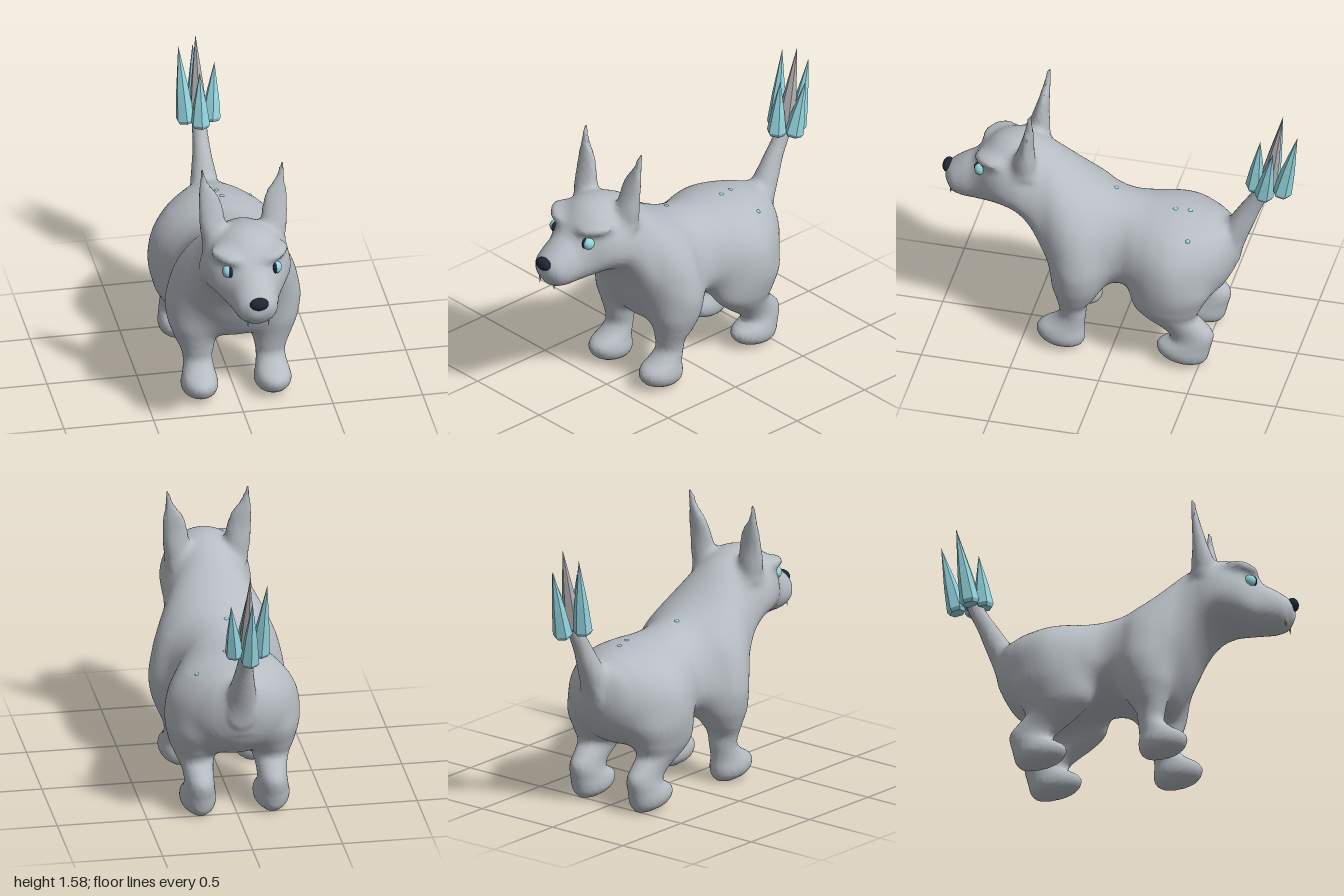
import * as THREE from 'three';

const mat = (name, color) => Object.assign(new THREE.MeshStandardMaterial({ color }), { name });

// Smooth lookup of section rows by their first value
function sections(rows) {
  const size = rows[0].length - 1;
  const curve = new THREE.CubicInterpolant(rows.map(r => r[0]), rows.flatMap(r => r.slice(1)), size, new Array(size));
  const first = rows[0][0], last = rows[rows.length - 1][0];
  return { at: t => curve.evaluate(t), beyond: t => Math.max(first - t, t - last) };
}

// Torso, neck, head and muzzle: [z, bottom, top, half width, height of widest point]
const BODY = sections([
  [-0.665, 0.60, 0.72, 0.06, 0.66], [-0.63, 0.50, 0.81, 0.15, 0.64],
  [-0.55, 0.40, 0.86, 0.255, 0.61], [-0.45, 0.35, 0.885, 0.33, 0.60],
  [-0.35, 0.34, 0.90, 0.368, 0.59], [-0.25, 0.36, 0.905, 0.353, 0.59],
  [-0.15, 0.385, 0.905, 0.31, 0.60], [-0.05, 0.395, 0.92, 0.272, 0.60],
  [0.05, 0.39, 0.945, 0.297, 0.59], [0.14, 0.375, 0.985, 0.358, 0.57],
  [0.22, 0.37, 1.035, 0.362, 0.58], [0.30, 0.38, 1.10, 0.32, 0.65],
  [0.38, 0.50, 1.165, 0.265, 0.76], [0.46, 0.66, 1.205, 0.245, 0.89],
  [0.53, 0.76, 1.225, 0.25, 0.95], [0.62, 0.805, 1.225, 0.24, 0.97],
  [0.70, 0.80, 1.195, 0.205, 0.97], [0.76, 0.795, 1.14, 0.165, 0.93],
  [0.81, 0.79, 1.08, 0.14, 0.91], [0.88, 0.79, 1.035, 0.122, 0.90],
  [0.94, 0.815, 0.99, 0.098, 0.90], [0.975, 0.87, 0.96, 0.05, 0.915],
]);

// Upright limbs: [y, centre x, centre z, radius x, radius z]
const FRONT_LEG = sections([
  [0.003, 0.2, 0.245, 0.035, 0.055], [0.03, 0.202, 0.265, 0.078, 0.105],
  [0.08, 0.204, 0.282, 0.102, 0.133], [0.13, 0.204, 0.28, 0.095, 0.127],
  [0.17, 0.203, 0.245, 0.085, 0.095], [0.22, 0.203, 0.218, 0.081, 0.074],
  [0.28, 0.205, 0.216, 0.092, 0.078], [0.35, 0.213, 0.2, 0.115, 0.108],
  [0.45, 0.228, 0.19, 0.13, 0.138], [0.6, 0.22, 0.18, 0.108, 0.125],
  [0.75, 0.18, 0.18, 0.06, 0.07],
]);
const HIND_LEG = sections([
  [0.003, 0.2, -0.455, 0.035, 0.055], [0.03, 0.202, -0.425, 0.078, 0.11],
  [0.08, 0.204, -0.406, 0.1, 0.145], [0.12, 0.204, -0.413, 0.095, 0.147],
  [0.165, 0.203, -0.452, 0.085, 0.12], [0.21, 0.203, -0.44, 0.081, 0.132],
  [0.26, 0.205, -0.388, 0.088, 0.142], [0.31, 0.21, -0.335, 0.105, 0.15],
  [0.38, 0.217, -0.315, 0.128, 0.19], [0.5, 0.223, -0.335, 0.132, 0.2],
  [0.62, 0.2, -0.34, 0.1, 0.14], [0.75, 0.15, -0.35, 0.06, 0.08],
]);
const EAR = sections([
  [1.08, 0.165, 0.5, 0.06, 0.06], [1.18, 0.17, 0.498, 0.07, 0.06],
  [1.28, 0.177, 0.486, 0.068, 0.04], [1.37, 0.19, 0.472, 0.055, 0.027],
  [1.45, 0.212, 0.462, 0.024, 0.017], [1.535, 0.225, 0.453, 0.01, 0.01],
]);
const TAIL = sections([
  [0.55, 0, -0.6, 0.06, 0.045], [0.65, 0, -0.6, 0.09, 0.08],
  [0.75, 0, -0.627, 0.085, 0.09], [0.86, 0, -0.685, 0.066, 0.073],
  [0.96, 0, -0.735, 0.05, 0.06], [1.06, 0, -0.79, 0.042, 0.05],
  [1.13, 0, -0.82, 0.038, 0.045],
]);

// Approximate signed distance to an ellipse or ellipsoid
function oval(a, ra, b, rb, c = 0, rc = 1) {
  const rho = Math.hypot(a / ra, b / rb, c / rc) + 1e-5;
  return rho * (rho - 1) / (Math.hypot(a / ra ** 2, b / rb ** 2, c / rc ** 2) + 1e-4);
}
function limb(part, x, y, z) {
  const [cx, cz, rx, rz] = part.at(y);
  return Math.max(oval(x - cx, rx, z - cz, rz), part.beyond(y));
}
// Smooth union with blend width k
function blend(a, b, k) {
  const h = Math.max(k - Math.abs(a - b), 0) / k;
  return Math.min(a, b) - h * h * k / 4;
}

// Distance field of the whole animal, mirrored in x
function hound(px, y, z) {
  const x = Math.abs(px);
  const [lo, hi, w, mid] = BODY.at(z);
  let d = Math.max(oval(x, w, y - mid, y > mid ? hi - mid : mid - lo), BODY.beyond(z));
  // Brow ridge over the eye, sloping down to the nose
  const bx = x - 0.13, by = y - 1.123 - bx * 0.15, bz = z - 0.715 + bx * 0.4;
  d = blend(d, oval(bx, 0.082, by, 0.034, bz, 0.072), 0.05);
  d = blend(d, limb(FRONT_LEG, x, y, z), 0.08);
  d = blend(d, limb(HIND_LEG, x, y, z), 0.08);
  d = blend(d, limb(EAR, x, y, z), 0.045);
  return blend(d, limb(TAIL, x, y, z), 0.05);
}

// Skin a distance field: one vertex per crossed cell, one quad per crossed grid edge
function skin(field, min, max, step) {
  const n = min.map((m, a) => Math.ceil((max[a] - m) / step) + 1);
  const stride = [n[1] * n[2], n[2], 1];
  const value = new Float32Array(n[0] * n[1] * n[2]);
  const each = (from, cut, visit) => {
    for (let i = from; i < n[0] - cut; i++)
      for (let j = from; j < n[1] - cut; j++)
        for (let k = from; k < n[2] - cut; k++) visit([i, j, k], i * stride[0] + j * stride[1] + k);
  };
  each(0, 0, (c, id) => { value[id] = field(...c.map((v, a) => min[a] + v * step)); });

  const vertex = new Map(), pos = [], index = [];
  each(0, 1, (c, id) => {
    const sum = [0, 0, 0];
    let hits = 0;
    for (let axis = 0; axis < 3; axis++) {
      const v = (axis + 1) % 3, w = (axis + 2) % 3;
      for (let corner = 0; corner < 4; corner++) {
        const ov = corner & 1, ow = corner >> 1;
        const start = id + ov * stride[v] + ow * stride[w];
        const f0 = value[start], f1 = value[start + stride[axis]];
        if (f0 < 0 === f1 < 0) continue;
        sum[axis] += f0 / (f0 - f1);
        sum[v] += ov;
        sum[w] += ow;
        hits++;
      }
    }
    if (!hits) return;
    vertex.set(id, pos.length / 3);
    pos.push(...c.map((m, a) => min[a] + (m + sum[a] / hits) * step));
  });
  each(1, 1, (c, id) => {
    for (let axis = 0; axis < 3; axis++) {
      const inside = value[id] < 0;
      if (inside === value[id + stride[axis]] < 0) continue;
      const sv = stride[(axis + 1) % 3], sw = stride[(axis + 2) % 3];
      const [p, q, r, s] = [id - sv - sw, id - sw, id, id - sv].map(i => vertex.get(i));
      index.push(...(inside ? [p, q, r, p, r, s] : [p, r, q, p, s, r]));
    }
  });
  const geo = new THREE.BufferGeometry();
  geo.setAttribute('position', new THREE.Float32BufferAttribute(pos, 3));
  geo.setIndex(index);
  geo.computeVertexNormals();
  return geo;
}

// Tail crystals: [base x, base y, base z, tip x, tip y, tip z]
const CRYSTALS = [
  [0, 1.1, -0.76, 0, 1.415, -0.79], [0.07, 1.1, -0.825, 0.1, 1.42, -0.885],
  [-0.07, 1.1, -0.825, -0.1, 1.535, -0.895], [0, 1.085, -0.91, 0, 1.48, -1.0],
];

export function createModel() {
  const model = new THREE.Group();
  model.name = 'hound';
  const fur = mat('grey fur', 0xb6bcc2);
  const ice = mat('ice blue', 0x94d5df);
  const stone = mat('warm grey crystal', 0xb2aeb0);
  const dark = mat('dark nose', 0x1e2636);
  const ball = new THREE.SphereGeometry(1, 24, 16);

  const add = (name, geo, material) => {
    const mesh = new THREE.Mesh(geo, material);
    mesh.name = name;
    model.add(mesh);
    return mesh;
  };
  const blob = (name, material, p, s) => {
    const mesh = add(name, ball, material);
    mesh.position.set(...p);
    mesh.scale.set(...s);
  };
  // Faceted spike from base to tip, with a short tapered foot
  const spike = (name, material, [bx, by, bz, tx, ty, tz], r) => {
    const base = new THREE.Vector3(bx, by, bz);
    const dir = new THREE.Vector3(tx, ty, tz).sub(base);
    const h = dir.length();
    const profile = [[0, -0.01], [r * 0.8, -0.008], [r, 0.012], [r * 0.7, h * 0.4], [0, h]]
      .map(([x, y]) => new THREE.Vector2(x, y));
    const geo = new THREE.LatheGeometry(profile, 6).toNonIndexed();
    geo.computeVertexNormals();
    const mesh = add(name, geo, material);
    mesh.position.copy(base);
    mesh.quaternion.setFromUnitVectors(new THREE.Vector3(0, 1, 0), dir.normalize());
  };

  add('body', skin(hound, [-0.45, -0.04, -0.92], [0.45, 1.58, 1.02], 0.0165), fur);
  blob('nose', dark, [0, 0.95, 0.968], [0.052, 0.036, 0.032]);

  for (const side of [1, -1]) {
    const which = side > 0 ? 'left' : 'right';
    // Eye with a slit pupil towards the nose
    blob(which + 'Eye', ice, [0.134 * side, 1.053, 0.755], [0.031, 0.035, 0.035]);
    blob(which + 'Pupil', dark, [0.124 * side, 1.054, 0.77], [0.013, 0.032, 0.024]);
    spike(which + 'Fang', fur, [0.055 * side, 0.86, 0.937, 0.058 * side, 0.795, 0.943], 0.01);
  }

  // Crystal cluster at the tail tip
  CRYSTALS.forEach(c => spike('tailCrystal', ice, c, 0.055));
  spike('centreCrystal', stone, [0, 1.11, -0.825, 0, 1.585, -0.915], 0.053);

  // Tiny ice flecks set into the back
  for (const [x, z] of [[0.21, -0.43], [0.02, -0.4], [0.035, -0.32], [-0.03, 0.03]]) {
    let y = 0.7;
    while (hound(x, y, z) < 0) y += 0.004;
    blob('iceFleck', ice, [x, y - 0.007, z], [0.014, 0.01, 0.014]);
  }
  return model;
}
